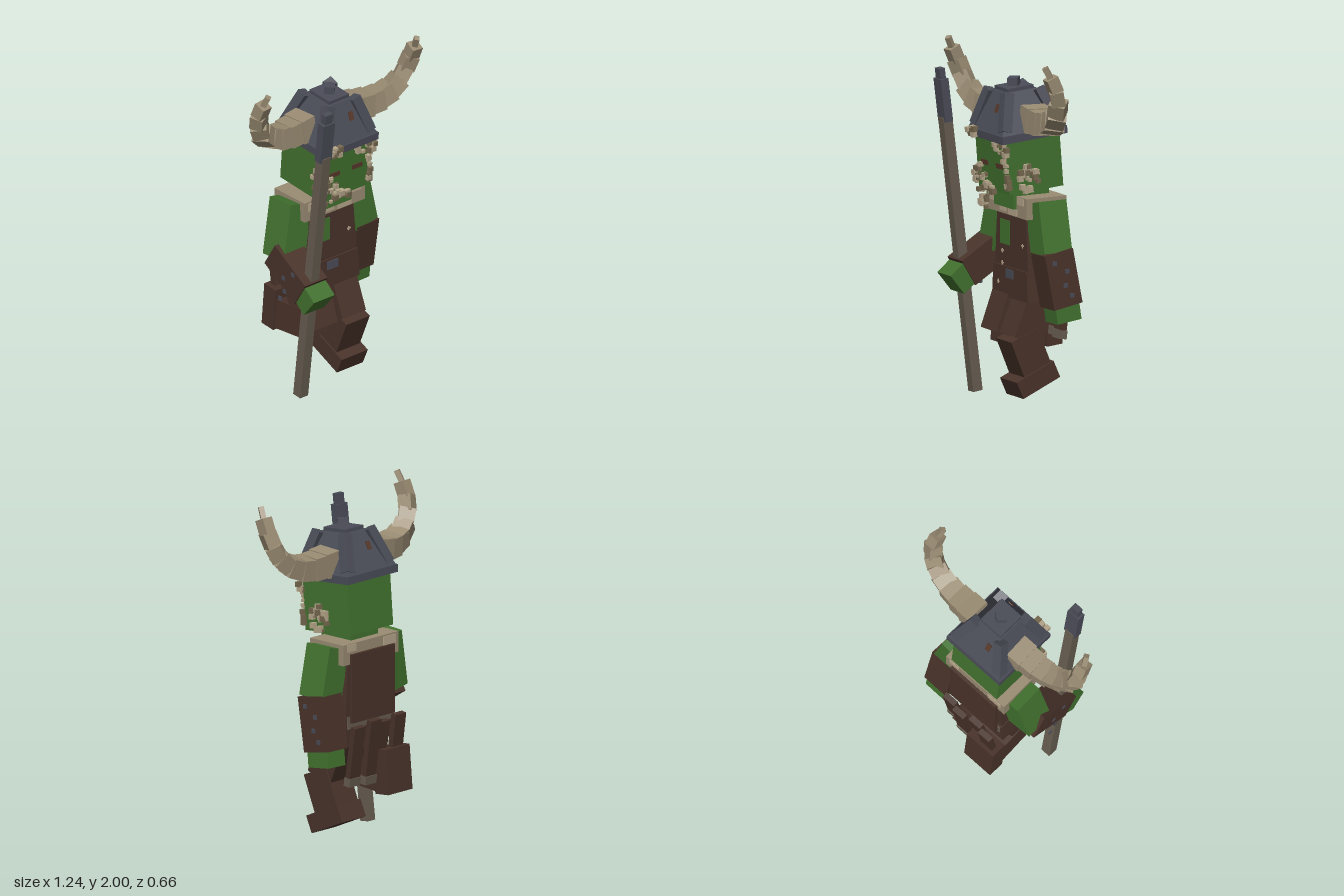
import * as THREE from 'three';

const mat = (name, color) => {
  const m = new THREE.MeshStandardMaterial({ color });
  m.name = name;
  return m;
};

export function createModel() {
  const root = new THREE.Group();
  root.name = 'hornedWarrior';
  const green = mat('green skin', 0x42722f);
  const brown = mat('brown leather', 0x49332a);
  const metal = mat('dark metal', 0x4a4c57);
  const horn = mat('horn', 0x9a8c73);
  const wood = mat('staff wood', 0x675d50);
  const bone = mat('pale fur', 0xb5a68a);
  const fur = mat('shadow fur', 0x75684f);
  const rust = mat('rust', 0x57382a);

  // seeded random numbers
  let seed = 7;
  const rnd = () => (seed = (seed * 16807) % 2147483647) / 2147483647;

  const add = (parent, name, geo, m, pos, rot = [0, 0, 0]) => {
    const mesh = new THREE.Mesh(geo, m);
    mesh.name = name;
    mesh.position.set(...pos);
    mesh.rotation.set(...rot);
    parent.add(mesh);
    return mesh;
  };
  const box = (parent, name, m, size, pos, rot) =>
    add(parent, name, new THREE.BoxGeometry(...size), m, pos, rot);

  // box whose top is scaled by kx, kz
  const taper = (w, h, d, kx, kz) => {
    const g = new THREE.BoxGeometry(w, h, d);
    const p = g.attributes.position;
    for (let i = 0; i < p.count; i++)
      if (p.getY(i) > 0) p.setXYZ(i, p.getX(i) * kx, p.getY(i), p.getZ(i) * kz);
    g.computeVertexNormals();
    return g;
  };

  // box running between two points
  const limb = (parent, name, m, a, b, w, d) => {
    const A = new THREE.Vector3(...a), B = new THREE.Vector3(...b);
    const dir = A.clone().sub(B);
    const mesh = box(parent, name, m, [w, dir.length(), d], A.clone().add(B).multiplyScalar(0.5).toArray());
    mesh.quaternion.setFromUnitVectors(new THREE.Vector3(0, 1, 0), dir.normalize());
    return mesh;
  };

  // torso, skirt and collar
  add(root, 'chest', taper(0.38, 0.36, 0.21, 0.86, 1), brown, [0, 0.91, -0.085]);
  add(root, 'skirt', taper(0.41, 0.175, 0.23, 0.93, 1), brown, [0, 0.67, -0.085]);
  box(root, 'barePatch', green, [0.11, 0.14, 0.006], [-0.07, 0.95, 0.022]);
  box(root, 'buckle', metal, [0.08, 0.05, 0.008], [0, 0.72, 0.033]);
  box(root, 'backBelt', wood, [0.37, 0.07, 0.008], [0, 0.72, -0.203]);
  box(root, 'backPlate', brown, [0.35, 0.4, 0.02], [0, 0.925, -0.222]);
  box(root, 'collar', horn, [0.45, 0.12, 0.26], [0, 1.125, -0.08]);
  for (const [x, y, w, h] of [[-0.15, 1.15, 0.1, 0.05], [0.16, 1.16, 0.07, 0.04], [0.07, 1.09, 0.1, 0.04], [-0.04, 1.1, 0.07, 0.04]])
    for (const z of [0.052, -0.212])
      box(root, 'collarPatch', bone, [w, h, 0.006], [x, y, z]);
  for (const [x, y] of [[-0.1, 0.84], [-0.1, 0.77], [-0.13, 0.66], [0.13, 0.9]]) {
    const z = y > 0.75 ? 0.022 : 0.032;
    box(root, 'stitch', bone, [0.025, 0.007, 0.005], [x, y, z]);
    box(root, 'stitch', bone, [0.007, 0.025, 0.006], [x, y, z]);
  }

  // hanging straps at the back
  for (const [i, x] of [-0.15, -0.05, 0.05, 0.15].entries()) {
    const top = 0.735 - (i % 2) * 0.03, z = -0.285 + (i % 2) * 0.03;
    limb(root, 'strap', brown, [x, top, z], [x, 0.36, z + 0.05], 0.085, 0.035);
    if (i > 1) box(root, 'strapClasp', wood, [0.09, 0.05, 0.045], [x, 0.38, z + 0.047], [-0.12, 0, 0]);
  }

  // left arm hanging, right arm bent to the staff
  limb(root, 'leftUpperArm', green, [0.215, 1.16, -0.08], [0.28, 0.87, -0.082], 0.16, 0.18);
  limb(root, 'leftForearm', brown, [0.285, 0.89, -0.08], [0.293, 0.575, -0.138], 0.165, 0.185);
  limb(root, 'leftHand', green, [0.293, 0.6, -0.135], [0.297, 0.485, -0.15], 0.14, 0.155);
  limb(root, 'rightUpperArm', green, [-0.215, 1.16, -0.08], [-0.285, 0.83, -0.06], 0.16, 0.18);
  limb(root, 'rightForearm', brown, [-0.29, 0.865, -0.08], [-0.29, 0.705, 0.18], 0.168, 0.17);
  limb(root, 'rightHand', green, [-0.29, 0.715, 0.16], [-0.29, 0.642, 0.25], 0.155, 0.14);
  for (const [y, z] of [[0.83, -0.05], [0.78, -0.13], [0.7, -0.12], [0.64, -0.16]]) {
    box(root, 'leftStud', metal, [0.006, 0.025, 0.025], [0.291 + (0.89 - y) * 0.025 + 0.079, y, z]);
    box(root, 'rightStud', metal, [0.006, 0.025, 0.025], [-0.375, y - 0.02, z + 0.17]);
  }

  // legs: left planted, right kicked back
  limb(root, 'leftThigh', brown, [0.1, 0.62, -0.085], [0.1, 0.36, 0.02], 0.175, 0.18);
  limb(root, 'leftShin', brown, [0.105, 0.4, 0.045], [0.105, 0.17, -0.05], 0.175, 0.185);
  box(root, 'leftFoot', brown, [0.195, 0.105, 0.26], [0.107, 0.138, -0.04], [0.42, 0, 0]);
  limb(root, 'rightThigh', brown, [-0.11, 0.63, -0.075], [-0.115, 0.36, 0.02], 0.18, 0.18);
  limb(root, 'rightShin', brown, [-0.118, 0.4, 0.03], [-0.122, 0.375, -0.25], 0.18, 0.18);
  box(root, 'rightFoot', brown, [0.2, 0.26, 0.1], [-0.122, 0.41, -0.262], [0.09, 0, 0]);

  // staff with metal head
  const staff = new THREE.Group();
  staff.name = 'staff';
  staff.position.set(-0.29, 0.012, 0.09);
  staff.rotation.x = 0.123;
  root.add(staff);
  box(staff, 'staffShaft', wood, [0.06, 1.6, 0.06], [0, 0.8, 0]);
  box(staff, 'staffBlade', metal, [0.085, 0.25, 0.05], [0, 1.7, 0]);
  box(staff, 'staffTip', metal, [0.055, 0.06, 0.035], [0, 1.855, 0]);

  // head, tipped slightly forward
  const head = new THREE.Group();
  head.name = 'head';
  head.position.set(0, 1.38, -0.03);
  head.rotation.x = 0.08;
  root.add(head);
  box(head, 'skull', green, [0.35, 0.32, 0.35], [0, 0, 0]);
  box(root, 'neck', green, [0.22, 0.14, 0.23], [0, 1.18, -0.045]);
  for (const s of [-1, 1]) box(head, 'eye', rust, [0.075, 0.028, 0.006], [s * 0.085, -0.005, 0.177]);

  // helmet: brim, sloped bowl, crown, corner ridges
  box(head, 'helmetBrim', metal, [0.41, 0.045, 0.42], [0, 0.165, 0]);
  add(head, 'helmetBowl', taper(0.4, 0.22, 0.41, 0.42, 0.48), metal, [0, 0.295, 0]);
  box(head, 'helmetCrown', metal, [0.15, 0.03, 0.17], [0, 0.41, 0]);
  box(head, 'helmetKnob', metal, [0.06, 0.06, 0.06], [0, 0.44, 0], [0, Math.PI / 4, 0]);
  for (const sx of [-1, 1])
    for (const sz of [-1, 1])
      limb(head, 'helmetRidge', metal, [sx * 0.095, 0.405, sz * 0.1], [sx * 0.165, 0.2, sz * 0.17], 0.06, 0.06);
  for (const s of [-1, 1])
    box(head, 'helmetRust', rust, [0.03, 0.05, 0.006], [s * 0.045, 0.32, s * 0.144], [-s * 0.45, 0, 0]);

  // horns: shrinking boxes along a curve
  for (const s of [-1, 1]) {
    const curve = new THREE.CatmullRomCurve3([
      [0.14, 1.64, -0.03], [0.32, 1.625, -0.022], [0.44, 1.65, -0.005], [0.52, 1.72, 0.015],
      [0.56, 1.81, 0.035], [0.57, 1.9, 0.07], [0.556, 2.0, 0.118],
    ].map(([x, y, z]) => new THREE.Vector3(x * s, y, z)));
    const n = 9;
    for (let i = 0; i < n; i++) {
      const a = curve.getPointAt(i / n);
      const b = curve.getPointAt(Math.min(1, (i + 1.15) / n));
      const w = i === n - 1 ? 0.03 : 0.145 - 0.011 * i;
      limb(root, 'hornSegment', horn, a.toArray(), b.toArray(), w, w * 1.05);
    }
  }

  // clumps of small fur cubes on a flat area centred on pos
  const clump = (parent, pos, w, h, onSide, count) => {
    for (let i = 0; i < count; i++) {
      const r = Math.sqrt(rnd()) / 2, t = rnd() * Math.PI * 2, k = 0.014 + rnd() * 0.02;
      const u = r * Math.cos(t) * w, v = r * Math.sin(t) * h, o = rnd() * 0.014;
      const p = onSide ? [pos[0] + o, pos[1] + v, pos[2] + u] : [pos[0] + u, pos[1] + v, pos[2] + o];
      box(parent, 'furTuft', i % 3 ? bone : fur, [k, k, k], p);
    }
  };
  clump(head, [-0.13, -0.1, 0.178], 0.13, 0.16, false, 30);
  clump(head, [-0.03, -0.14, 0.178], 0.14, 0.05, false, 12);
  clump(head, [0.13, 0.1, 0.178], 0.14, 0.09, false, 18);
  clump(head, [0.178, -0.08, 0.055], 0.13, 0.15, true, 32);
  clump(head, [0.165, -0.03, 0.175], 0.03, 0.24, false, 10);
  clump(head, [-0.185, -0.05, 0.12], 0.05, 0.16, true, 8);
  clump(head, [-0.12, 0.175, 0.212], 0.1, 0.04, false, 10);
  clump(root, [-0.16, 1.125, 0.095], 0.1, 0.09, false, 14);
  return root;
}
